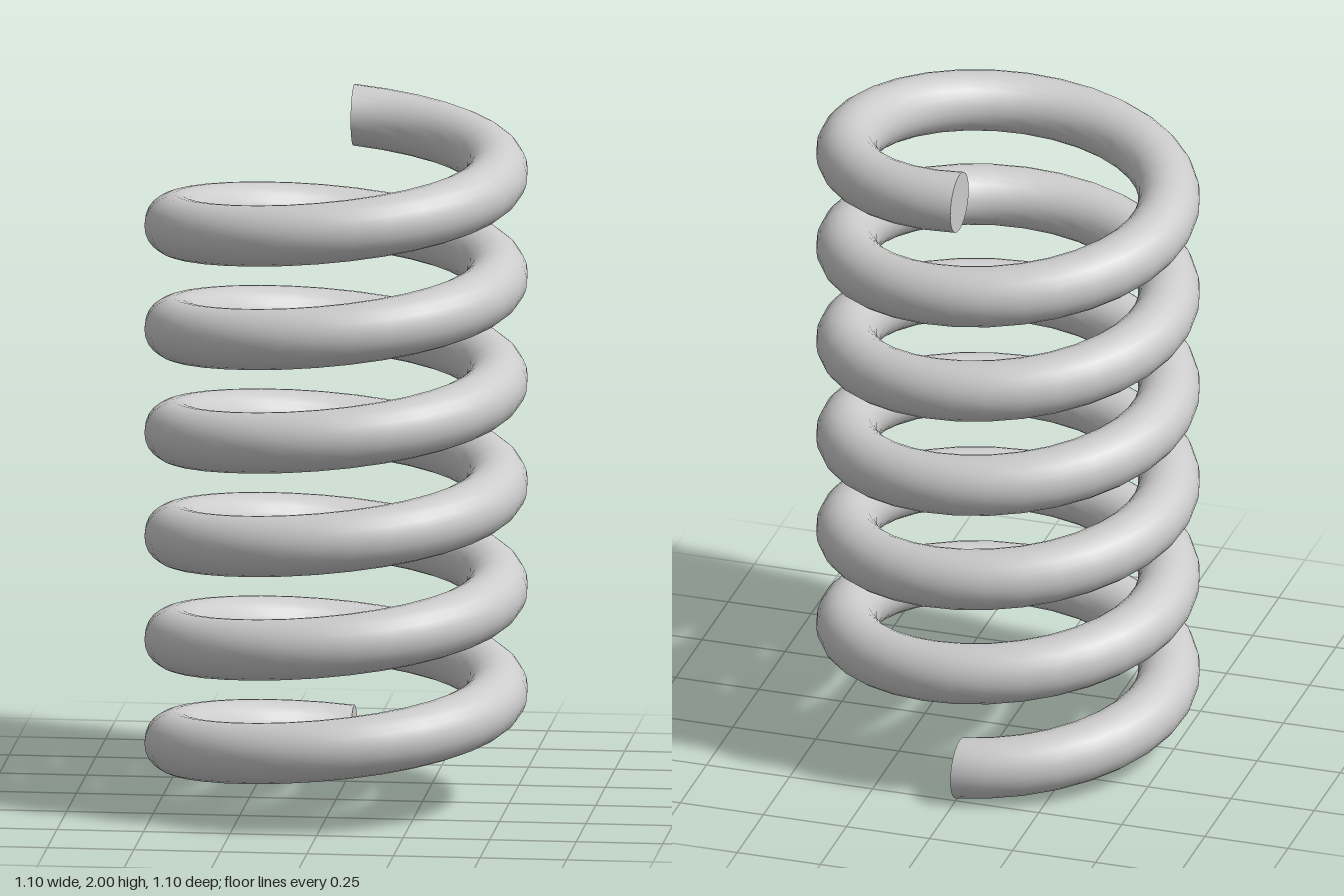
import * as THREE from 'three';
import { ParametricGeometry } from 'three/addons/geometries/ParametricGeometry.js';

const TURNS = 6;
const COIL_RADIUS = 0.4635;
const WIRE_RADIUS = 0.0885;
const HEIGHT = 2;
const SEGMENTS_PER_TURN = 32;
const WIRE_SIDES = 24;

export function createModel() {
  const group = new THREE.Group();
  group.name = 'coilSpring';
  const material = new THREE.MeshStandardMaterial({ color: 0xcccccc });

  // Coiled wire: u runs along the helix, v runs around the wire
  const bottom = WIRE_RADIUS;
  const rise = HEIGHT - 2 * WIRE_RADIUS;
  const coilPoint = (u, v, target) => {
    const turn = u * TURNS * Math.PI * 2;
    const around = v * Math.PI * 2;
    const r = COIL_RADIUS + WIRE_RADIUS * Math.cos(around);
    target.set(
      -r * Math.sin(turn),
      bottom + rise * u + WIRE_RADIUS * Math.sin(around),
      -r * Math.cos(turn)
    );
  };
  const coil = new THREE.Mesh(
    new ParametricGeometry(coilPoint, TURNS * SEGMENTS_PER_TURN, WIRE_SIDES),
    material
  );
  coil.name = 'coil';
  group.add(coil);

  // Flat cut faces at the two wire ends
  const addEnd = (name, y, facing) => {
    const end = new THREE.Mesh(new THREE.CircleGeometry(WIRE_RADIUS, WIRE_SIDES), material);
    end.name = name;
    end.position.set(0, y, -COIL_RADIUS);
    end.rotation.y = facing * Math.PI / 2;
    group.add(end);
  };
  addEnd('bottomEnd', bottom, 1);
  addEnd('topEnd', bottom + rise, -1);

  return group;
}
